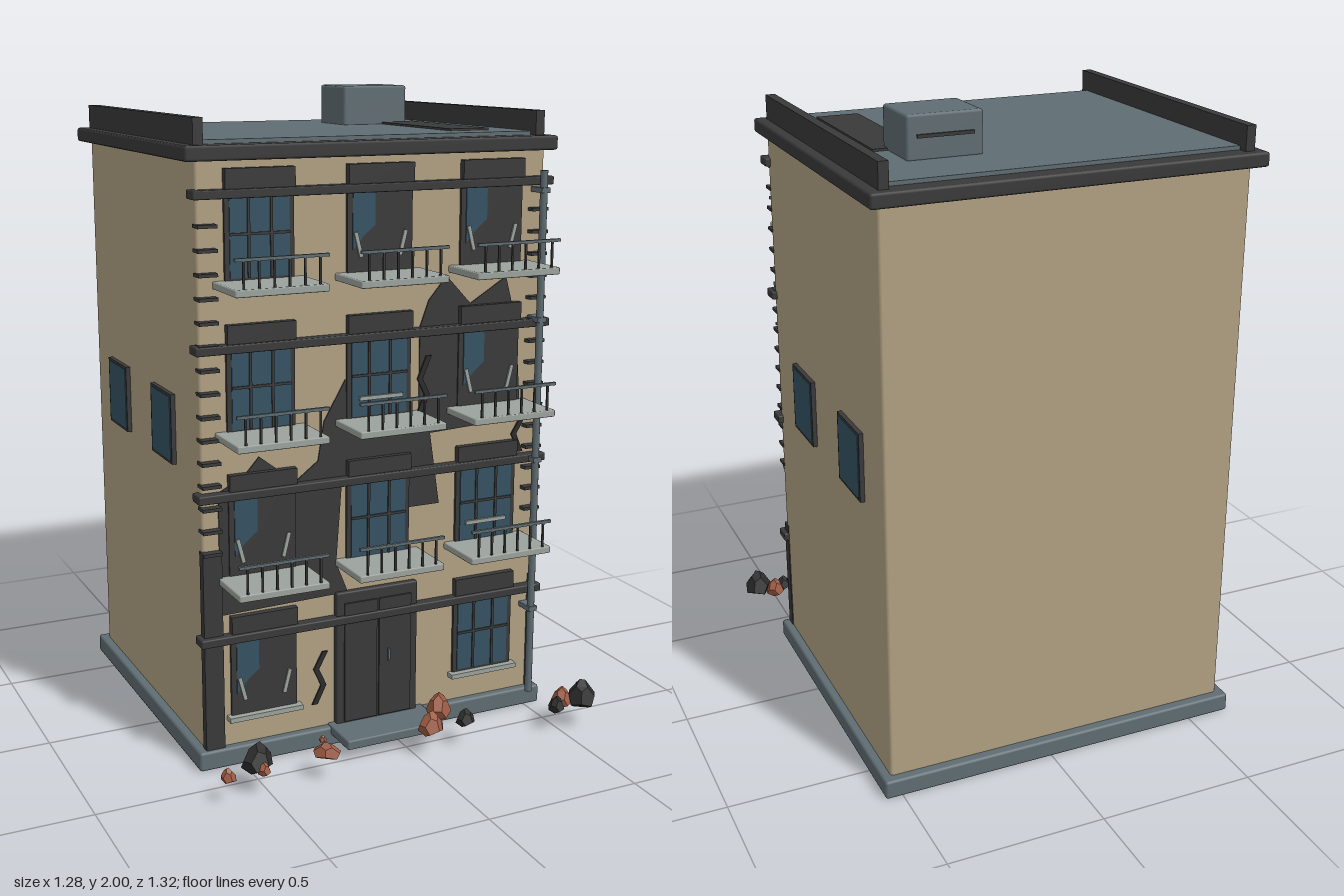
import * as THREE from 'three';
import { RoundedBoxGeometry } from 'three/addons/geometries/RoundedBoxGeometry.js';

const mat = (name, color) => {
  const m = new THREE.MeshStandardMaterial({ color });
  m.name = name;
  return m;
};

export function createModel() {
  const model = new THREE.Group();
  model.name = 'ruinedTownhouse';
  const plaster = mat('plaster', 0xb0a082);
  const soot = mat('sootDark', 0x3a3939);
  const slate = mat('slateGrey', 0x5f6c72);
  const stone = mat('paleStone', 0x9ba29c);
  const glass = mat('glass', 0x355262);
  const brick = mat('brick', 0x9c5a42);
  const rubbleDark = mat('charredRubble', 0x2c2b2b);

  const add = (name, geo, material, parent = model) => {
    const mesh = new THREE.Mesh(geo, material);
    mesh.name = name;
    parent.add(mesh);
    return mesh;
  };
  // Box given by its limits; a bevel rounds its edges
  const box = (name, m, x0, x1, y0, y1, z0, z1, parent = model, bevel = 0) => {
    const s = [x1 - x0, y1 - y0, z1 - z0];
    const g = bevel ? new RoundedBoxGeometry(...s, 1, bevel) : new THREE.BoxGeometry(...s);
    const mesh = add(name, g, m, parent);
    mesh.position.set((x0 + x1) / 2, (y0 + y1) / 2, (z0 + z1) / 2);
    return mesh;
  };
  // Thin flat polygon on the facade
  const plate = (name, m, pts, z, depth, parent = model) => {
    const shape = new THREE.Shape(pts.map(p => new THREE.Vector2(...p)));
    const g = new THREE.ExtrudeGeometry(shape, { depth, bevelEnabled: false });
    return add(name, g.translate(0, 0, z), m, parent);
  };

  // Main masses
  const F = 0.365;
  box('base', slate, -0.64, 0.555, 0, 0.06, -0.66, 0.39, model, 0.008);
  box('body', plaster, -0.612, 0.528, 0.05, 1.83, -0.63, F, model, 0.008);
  box('cornice', soot, -0.648, 0.562, 1.818, 1.862, -0.67, 0.39, model, 0.008);
  box('roofDeck', slate, -0.59, 0.505, 1.85, 1.874, -0.61, 0.33);
  for (const [x0, x1] of [[-0.613, -0.583], [0.498, 0.528]])
    box('parapet', soot, x0, x1, 1.85, 1.937, -0.64, 0.36);

  // Roof details
  box('roofUnit', slate, 0.13, 0.36, 1.87, 2, -0.413, -0.227, model, 0.008);
  box('roofUnitVent', soot, 0.16, 0.33, 1.935, 1.945, -0.419, -0.41);
  box('roofPatch', soot, 0.27, 0.405, 1.87, 1.881, -0.265, 0.235);

  // String courses
  for (const y of [0.408, 0.85, 1.287, 1.727])
    box('stringCourse', soot, -0.63, 0.545, y - 0.013, y + 0.013, 0.34, 0.398, model, 0.004);

  // Soot stains
  plate('sootStain', soot, [
    [0.1, 1.02], [0.1, 1.3], [0.13, 1.38], [0.19, 1.45], [0.275, 1.36], [0.4, 1.435],
    [0.44, 1.29], [0.465, 0.98], [0.14, 0.965], [0.175, 0.735], [0.06, 0.735], [0.06, 0.85],
    [-0.32, 0.86], [-0.24, 0.92], [-0.22, 1.04], [-0.15, 1.16], [-0.14, 1.02],
  ], F, 0.004);
  plate('sootStain', soot, [
    [-0.56, 0.48], [-0.56, 0.86], [-0.48, 0.9], [-0.43, 0.955], [-0.32, 0.87],
    [-0.16, 0.86], [-0.18, 0.59], [-0.14, 0.49],
  ], F, 0.004);
  box('sootCorner', soot, -0.615, -0.555, 0.06, 0.68, 0.35, 0.378);
  box('sootCorner', soot, 0.512, 0.531, 0.06, 0.45, 0.34, 0.378);

  // Front windows: a string marks each row, b = broken
  const cols = [-0.423, -0.04, 0.34];
  const tops = [0.475, 0.912, 1.355, 1.797];
  const rows = ['b-w', 'bww', 'wwb', 'wbb'];
  const makeWindow = (broken) => {
    const w = new THREE.Group();
    w.name = broken ? 'brokenWindow' : 'window';
    box('windowSurround', soot, -0.107, 0.107, -0.325, 0, F - 0.02, 0.374, w);
    box('lintel', soot, -0.107, 0.107, -0.06, 0, F - 0.02, 0.387, w);
    if (broken) {
      plate('glassRemnant', glass,
        [[-0.09, -0.25], [-0.055, -0.21], [-0.018, -0.18], [-0.018, -0.075], [-0.09, -0.075]], 0.374, 0.003, w);
      for (const s of [-1, 1]) {
        const shard = box('shard', stone, -0.006, 0.006, -0.038, 0.038, 0.376, 0.382, w);
        shard.position.x = s * 0.073;
        shard.position.y = -0.235;
        shard.rotation.z = s * -0.25;
      }
    } else {
      box('glassPane', glass, -0.092, 0.092, -0.31, -0.075, 0.37, 0.377, w);
      for (const x of [-0.035, 0.035])
        box('mullion', soot, x - 0.004, x + 0.004, -0.31, -0.07, 0.37, 0.381, w);
      box('glazingBar', soot, -0.092, 0.092, -0.189, -0.181, 0.37, 0.381, w);
    }
    return w;
  };
  rows.forEach((row, r) => [...row].forEach((kind, c) => {
    if (kind === '-') return;
    const w = makeWindow(kind === 'b');
    w.position.set(cols[c], tops[r], 0);
    model.add(w);
    if (r === 0) box('sill', stone, cols[c] - 0.12, cols[c] + 0.12, 0.142, 0.157, F, 0.395);
  }));
  box('windowBoard', stone, -0.11, 0.035, 1.095, 1.107, 0.38, 0.388);
  box('windowBoard', stone, 0.265, 0.41, 0.655, 0.667, 0.38, 0.388);

  // Balconies with railings along the front edge
  for (const y of [0.59, 1.03, 1.47]) for (const cx of cols) {
    const b = new THREE.Group();
    b.name = 'balcony';
    b.position.set(cx, y, 0);
    model.add(b);
    box('balconySlab', stone, -0.142, 0.142, -0.011, 0.011, 0.35, 0.542, b, 0.004);
    box('handrail', slate, -0.142, 0.142, 0.088, 0.097, 0.53, 0.54, b);
    for (let i = 0; i < 6; i++) {
      const x = -0.115 + i * 0.046;
      box('baluster', soot, x - 0.003, x + 0.003, 0.01, 0.092, 0.532, 0.538, b);
    }
  }

  // Door and step
  box('doorFrame', soot, -0.185, 0.095, 0.06, 0.495, 0.35, 0.385, model, 0.005);
  for (const s of [-1, 1])
    box('doorLeaf', soot, -0.045 + (s < 0 ? -0.115 : 0.004), -0.045 + (s < 0 ? -0.004 : 0.115),
      0.07, 0.46, 0.38, 0.391);
  box('doorHandle', slate, -0.012, -0.006, 0.25, 0.29, 0.39, 0.398);
  box('step', slate, -0.207, 0.125, 0.035, 0.065, 0.36, 0.512, model, 0.005);

  // Side windows on both walls
  for (const [wall, s] of [[0.528, 1], [-0.612, -1]]) for (const z of [0.0625, -0.3725]) {
    const put = (name, m, hy, hz, out) =>
      box(name, m, wall - 0.01, wall + 0.01, 1.008 - hy, 1.008 + hy, z - hz, z + hz)
        .position.x += s * out;
    put('sideWindowFrame', soot, 0.108, 0.094, 0.004);
    put('sideWindowGlass', glass, 0.1, 0.086, 0.006);
  }

  // Corner ties
  for (let i = 0; i < 15; i++) {
    const y = 0.68 + i * 0.0685;
    box('cornerTie', soot, -0.616, -0.557, y - 0.005, y + 0.005, 0.35, 0.392);
    box('cornerTie', soot, 0.475, 0.532, y - 0.005, y + 0.005, 0.35, 0.392);
  }

  // Drainpipe
  const pipe = add('drainpipe', new THREE.CylinderGeometry(0.012, 0.012, 1.7, 10), slate);
  pipe.position.set(0.498, 0.91, 0.414);
  for (const y of [0.35, 0.85, 1.3, 1.7])
    box('pipeBracket', slate, 0.483, 0.513, y - 0.008, y + 0.008, 0.36, 0.428);

  // Zigzag cracks
  const cracks = [
    [[-0.22, 0.31], [-0.25, 0.255], [-0.225, 0.2], [-0.255, 0.14]],
    [[0.13, 1.21], [0.1, 1.14], [0.125, 1.09], [0.1, 1.035]],
    [[0.47, 0.98], [0.44, 0.93], [0.465, 0.87]],
  ];
  for (const c of cracks) {
    const w = 0.009;
    const back = c.map(([x, y]) => [x - w, y]).reverse();
    plate('crack', rubbleDark, [...c.map(([x, y]) => [x + w, y]), ...back], F + 0.004, 0.006);
  }

  // Rubble: x, z, size, length stretch, yaw, brick or charred
  let seed = 7;
  const rand = () => (seed = (seed * 16807) % 2147483647) / 2147483647;
  const rubble = [
    [-0.63, 0.6, 0.03, 1, 0.1, 1], [-0.53, 0.565, 0.056, 1.2, 0.5, 0], [-0.52, 0.6, 0.026, 1, 0.8, 1],
    [-0.31, 0.585, 0.033, 1.8, -0.65, 1], [0.045, 0.57, 0.048, 1.1, 0.3, 1], [0.13, 0.47, 0.05, 1.5, 1, 1],
    [0.175, 0.56, 0.036, 1.2, 0.4, 0], [0.485, 0.6, 0.034, 1, 0.6, 0], [0.525, 0.57, 0.042, 1, 0.9, 1],
    [0.58, 0.6, 0.06, 1, -0.6, 0], [-0.278, 0.48, 0.015, 1, 0, 1],
  ];
  for (const [x, z, r, stretch, yaw, isBrick] of rubble) {
    const g = new THREE.DodecahedronGeometry(r, 0);
    const skew = 0.3 * (rand() - 0.5);
    const p = g.attributes.position;
    for (let i = 0; i < p.count; i++) {
      const t = (p.getY(i) / r + 1) / 2;
      const k = 1.1 - 0.75 * t;
      p.setXYZ(i, p.getX(i) * k * stretch + skew * r * t, p.getY(i) * 0.85, p.getZ(i) * k);
    }
    g.computeVertexNormals();
    const m = add('rubble', g, isBrick ? brick : rubbleDark);
    m.position.set(x, 0.065 + r * 0.75, z);
    m.rotation.y = yaw;
  }
  return model;
}
